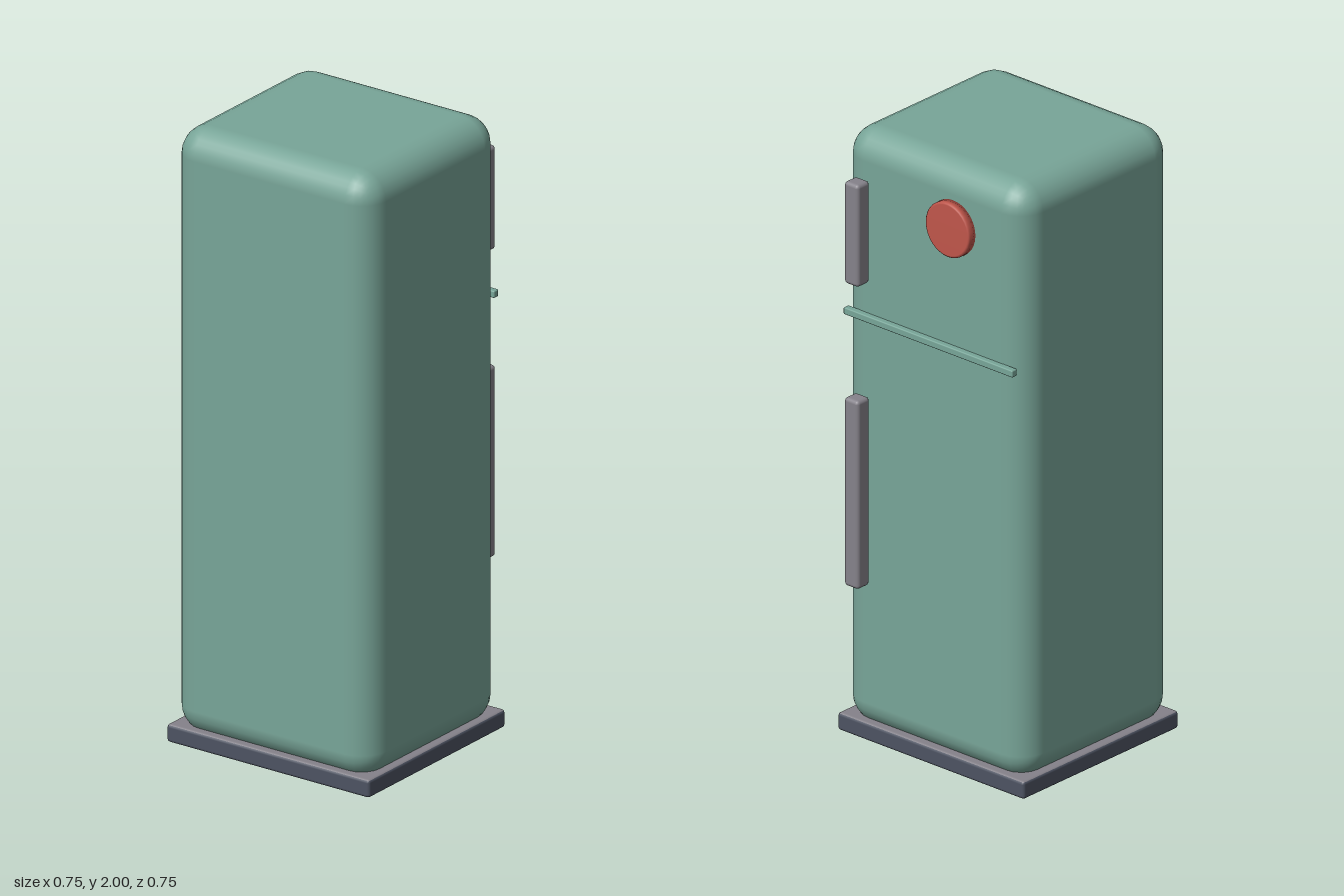
import * as THREE from 'three';
import { RoundedBoxGeometry } from 'three/addons/geometries/RoundedBoxGeometry.js';

const mat = (name, color) => {
  const m = new THREE.MeshStandardMaterial({ color });
  m.name = name;
  return m;
};

export function createModel() {
  const green = mat('sage green enamel', 0x78a598);
  const grey = mat('handle grey', 0x85828a);
  const dark = mat('dark slate', 0x4d5362);
  const red = mat('badge red', 0xc0564b);

  const model = new THREE.Group();
  model.name = 'refrigerator';

  // Rounded box given by its lower and upper corners
  const block = (name, material, lo, hi, radius, segments = 2) => {
    const size = hi.map((h, i) => h - lo[i]);
    const mesh = new THREE.Mesh(new RoundedBoxGeometry(...size, segments, radius), material);
    mesh.position.set(...hi.map((h, i) => (h + lo[i]) / 2));
    mesh.name = name;
    model.add(mesh);
    return mesh;
  };

  // Cabinet with soft corners
  block('cabinet', green, [-0.37, 0.03, -0.37], [0.312, 2, 0.37], 0.09, 3);

  // Plinth: dark sides and underside, grey upper face
  block('plinth', [dark, dark, grey, dark, dark, dark], [-0.376, 0, -0.378], [0.32, 0.058, 0.376], 0.01);

  // Door divider strip
  block('doorDivider', green, [0.308, 1.39, -0.342], [0.331, 1.413, 0.342], 0.004);

  // Vertical door handles
  for (const [name, y0, y1] of [['lowerHandle', 0.52, 1.143], ['upperHandle', 1.52, 1.858]]) {
    block(name, grey, [0.32, y0, 0.243], [0.375, y1, 0.301], 0.012);
  }

  // Round badge on the freezer door, facing +x
  const profile = [[0, 0], [0.09, 0], [0.09, 0.025], [0.086, 0.029], [0.082, 0.03], [0, 0.03]];
  const badge = new THREE.Mesh(
    new THREE.LatheGeometry(profile.map(([r, h]) => new THREE.Vector2(r, h)), 32), red);
  badge.name = 'badge';
  badge.rotation.z = -Math.PI / 2;
  badge.position.set(0.31, 1.803, -0.086);
  model.add(badge);

  return model;
}
